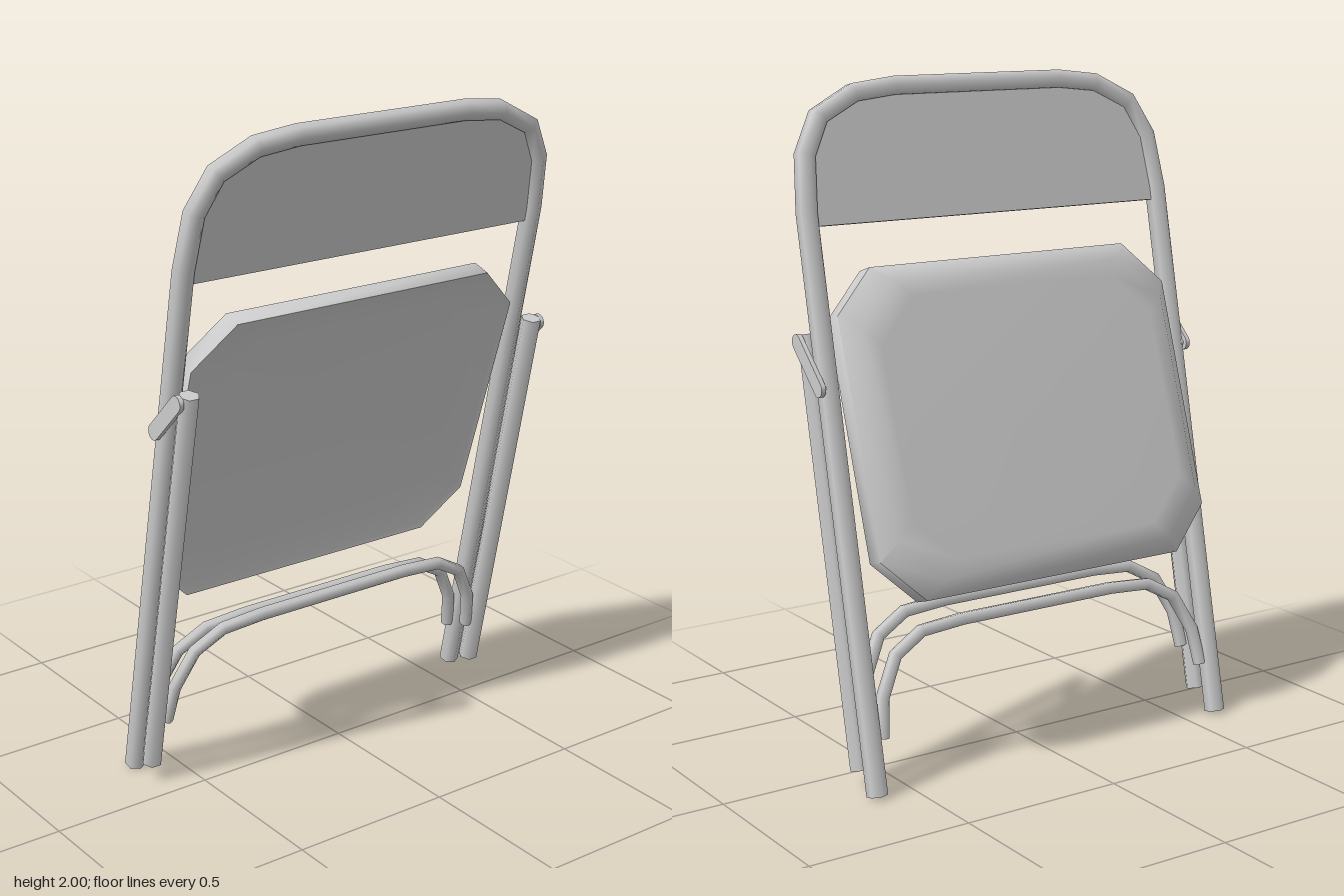
import * as THREE from 'three';
import { toCreasedNormals } from 'three/addons/utils/BufferGeometryUtils.js';

const metal = new THREE.MeshStandardMaterial({ color: 0xcccccc });

const LEAN = Math.atan(0.2117); // tilt shared by the frame and the legs
const COS = Math.cos(LEAN);
const SIDES = 6; // tubes are hexagonal

// Curve whose samples fall exactly on the given points, for mitred tubes
class Polyline extends THREE.Curve {
  constructor(points) {
    super();
    this.points = points;
  }
  getPointAt(t) {
    return this.points[Math.round(t * (this.points.length - 1))].clone();
  }
  getTangentAt(t) {
    const p = this.points, last = p.length - 1, i = Math.round(t * last);
    const a = p[Math.max(i - 1, 0)], b = p[Math.min(i + 1, last)], c = p[i];
    const dirIn = c.clone().sub(a).normalize();
    return b.clone().sub(c).normalize().add(dirIn).normalize();
  }
}

function add(parent, name, geometry) {
  const mesh = new THREE.Mesh(geometry, metal);
  mesh.name = name;
  parent.add(mesh);
  return mesh;
}

// Mirrors a half outline (given from the +x end to the middle)
function mirrored(half) {
  return [...half, ...half.slice().reverse().map(([x, y]) => [-x, y])];
}

// Bent tube in the xy plane with closed ends
function bentTube(parent, name, half, radius) {
  const points = mirrored(half).map(([x, y]) => new THREE.Vector3(x, y / COS, 0));
  const group = new THREE.Group();
  group.name = name;
  parent.add(group);
  const curve = new Polyline(points);
  add(group, name + 'Tube', new THREE.TubeGeometry(curve, points.length - 1, radius, SIDES, false));
  [0, 1].forEach((t) => {
    const cap = add(group, name + 'Cap', new THREE.CircleGeometry(radius, SIDES));
    const out = curve.getTangentAt(t).multiplyScalar(t ? 1 : -1);
    cap.position.copy(curve.getPointAt(t));
    cap.quaternion.setFromUnitVectors(new THREE.Vector3(0, 0, 1), out);
  });
}

// Group in which local y runs along the leaning tubes
function leaningGroup(parent, name, z) {
  const group = new THREE.Group();
  group.name = name;
  group.position.z = z;
  group.rotation.x = LEAN;
  parent.add(group);
  return group;
}

// Seat pan from chamfered rings [inset, depth], closed at the first and last ring
function seatGeometry(rings) {
  const W = 0.578, H = 0.481, C = 0.13;
  const positions = [], index = [];
  for (const [inset, depth] of rings) {
    const w = W - inset, h = H - inset;
    for (const [x, y] of [
      [w, C - h], [w, h - C], [w - C, h], [C - w, h],
      [-w, h - C], [-w, C - h], [C - w, -h], [w - C, -h],
    ]) positions.push(x, y, -depth);
  }
  const last = (rings.length - 1) * 8;
  for (let r = 0; r < last; r += 8) {
    for (let i = 0; i < 8; i++) {
      const a = r + i, b = r + (i + 1) % 8;
      index.push(a, a + 8, b, b, a + 8, b + 8);
    }
  }
  for (let i = 1; i < 7; i++) {
    index.push(0, i, i + 1);
    index.push(last, last + i + 1, last + i);
  }
  const geometry = new THREE.BufferGeometry();
  geometry.setAttribute('position', new THREE.Float32BufferAttribute(positions, 3));
  geometry.setIndex(index);
  return toCreasedNormals(geometry, 1);
}

// Flat bar with round ends, lying along x
function linkGeometry(length, radius, depth) {
  const shape = new THREE.Shape();
  shape.absarc(length / 2, 0, radius, -Math.PI / 2, Math.PI / 2, false);
  shape.absarc(-length / 2, 0, radius, Math.PI / 2, Math.PI * 1.5, false);
  const geometry = new THREE.ExtrudeGeometry(shape, { depth, bevelEnabled: false, curveSegments: 6 });
  return toCreasedNormals(geometry.translate(0, 0, -depth / 2), 0.7);
}

export function createModel() {
  const chair = new THREE.Group();
  chair.name = 'foldedChair';

  // Main hoop, forming the back and one pair of legs
  const frame = leaningGroup(chair, 'mainFrame', -0.2075);
  const bend = [[0.618, 1.63], [0.602, 1.79], [0.545, 1.895], [0.425, 1.955], [0.29, 1.97]];
  bentTube(frame, 'hoop', [[0.618, 0.007], ...bend], 0.031);

  // Back panel filling the top of the hoop
  const outline = mirrored([[0.61, 1.592], ...bend]).map(([x, y]) => new THREE.Vector2(x, y / COS));
  const panel = new THREE.ExtrudeGeometry(new THREE.Shape(outline), { depth: 0.02, bevelEnabled: false });
  add(frame, 'backPanel', panel.translate(0, 0, -0.01));

  // Second pair of legs
  const legs = leaningGroup(chair, 'foldingLegs', -0.12);
  const bottom = 0.055 / COS, top = 1.285 / COS;
  const tube = new THREE.CylinderGeometry(0.031, 0.031, top - bottom, SIDES).rotateY(Math.PI / 6);
  for (const side of [1, -1]) {
    const leg = add(legs, side > 0 ? 'leftLeg' : 'rightLeg', tube);
    leg.position.set(side * 0.618, (top + bottom) / 2, 0);
  }

  // Arched braces between each pair of legs
  const arch = [[0.58, 0], [0.564, 0.11], [0.505, 0.222], [0.41, 0.275], [0.27, 0.285]];
  [[frame, 0.16], [legs, 0.194]].forEach(([parent, y]) => {
    bentTube(parent, 'brace', arch.map(([x, h]) => [x, h + y]), 0.02);
  });

  // Seat folded up between the legs, slightly dished underneath
  const seat = add(chair, 'seat', seatGeometry([
    [0.1, 0.02], [0.015, 0.006], [0, 0], [0, 0.06], [0.05, 0.104], [0.1, 0.106],
  ]));
  seat.position.set(0, 0.995, -0.0075);
  seat.rotation.x = 0.314;

  // Hinge links joining the legs to the main frame
  const link = linkGeometry(0.166, 0.024, 0.014).rotateZ(0.763).rotateY(-Math.PI / 2);
  for (const side of [1, -1]) {
    const hinge = new THREE.Group();
    hinge.name = side > 0 ? 'leftHinge' : 'rightHinge';
    hinge.position.set(side * 0.651, 1.208, 0.083);
    chair.add(hinge);
    add(hinge, 'link', link);
    for (const end of [1, -1]) {
      const pin = add(hinge, 'pin', new THREE.CylinderGeometry(0.01, 0.01, 0.03, 8).rotateZ(Math.PI / 2));
      pin.position.set(-side * 0.008, end * 0.057, end * 0.06);
    }
  }
  return chair;
}
